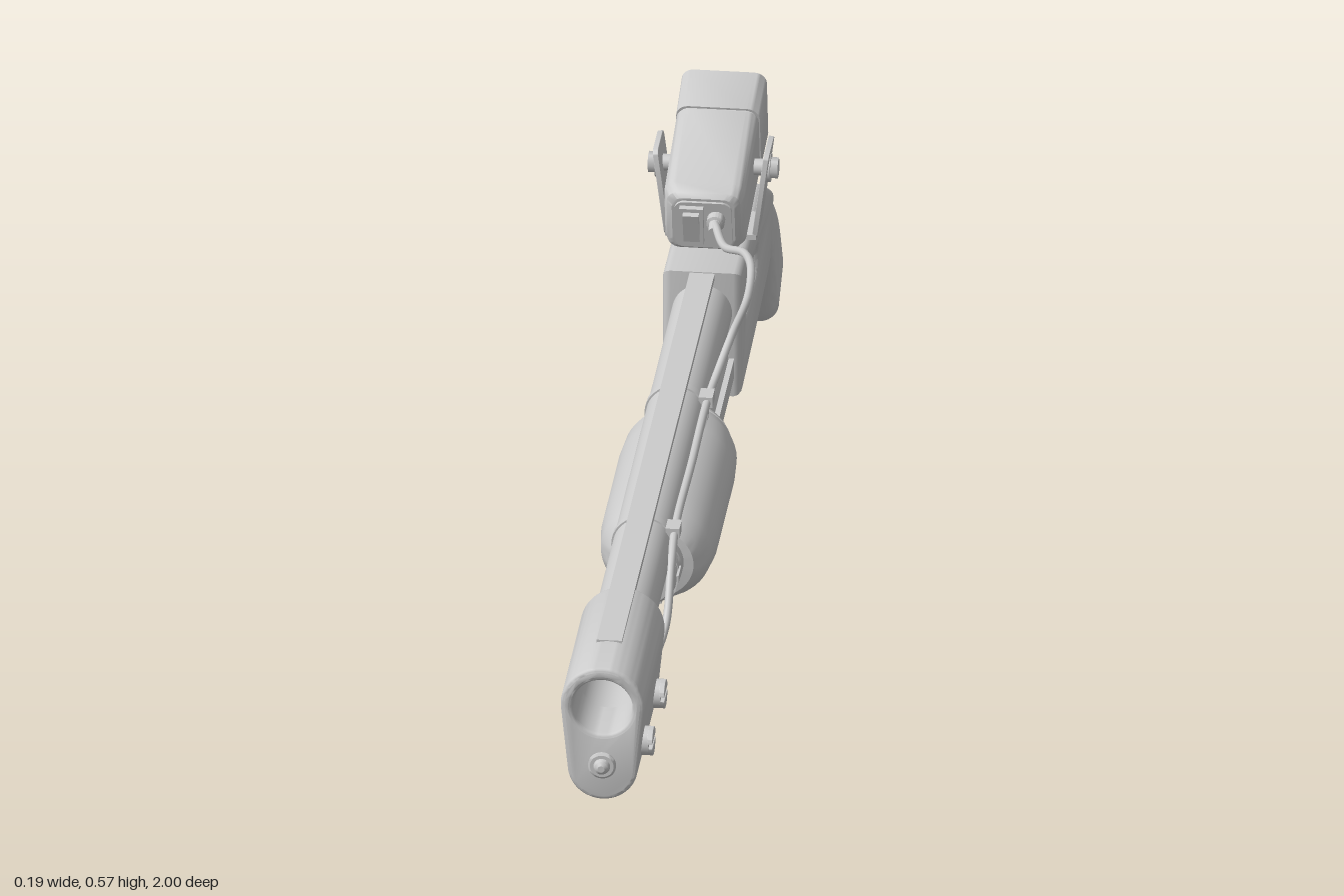
import * as THREE from 'three';
import { toCreasedNormals } from 'three/addons/utils/BufferGeometryUtils.js';

const grey = new THREE.MeshStandardMaterial({ color: 0xcccccc });
const greyOpen = new THREE.MeshStandardMaterial({ color: 0xcccccc, side: THREE.DoubleSide });
const V2 = (x, y) => new THREE.Vector2(x, y);
const V3 = (x, y, z) => new THREE.Vector3(x, y, z);

function add(parent, name, geo, x = 0, y = 0, z = 0, mat = grey) {
  const m = new THREE.Mesh(geo, mat);
  m.name = name;
  m.position.set(x, y, z);
  parent.add(m);
  return m;
}
const box = (w, h, d) => new THREE.BoxGeometry(w, h, d);
const rodZ = (r, len, n = 32, open = false) => new THREE.CylinderGeometry(r, r, len, n, 1, open).rotateX(Math.PI / 2);
const rodX = (r, len, n = 24) => new THREE.CylinderGeometry(r, r, len, n).rotateZ(-Math.PI / 2);

// Turned part along z from [z, radius] pairs, z rising
const turnZ = (pts, n = 40) =>
  toCreasedNormals(new THREE.LatheGeometry(pts.map(([z, r]) => V2(r, z)), n).rotateX(Math.PI / 2), 0.5);

// Extrusion centred on its depth, with a bevel that stays inside the outline
function slab(shape, depth, bevel) {
  const g = new THREE.ExtrudeGeometry(shape, {
    depth: depth - 2 * bevel, curveSegments: 20, bevelEnabled: bevel > 0,
    bevelSize: bevel, bevelThickness: bevel, bevelOffset: -bevel, bevelSegments: 3,
  });
  return toCreasedNormals(g.translate(0, 0, bevel - depth / 2), 0.6);
}
// Same, for a side outline drawn in (z, y)
const sideSlab = (shape, depth, bevel) => slab(shape, depth, bevel).rotateY(-Math.PI / 2);

function stadium(z0, z1, y, r, Type = THREE.Shape) {
  const s = new Type();
  s.absarc(z1 - r, y, r, -Math.PI / 2, Math.PI / 2);
  s.absarc(z0 + r, y, r, Math.PI / 2, Math.PI * 1.5);
  s.closePath();
  return s;
}

// Rounded rectangle cross-section, counter-clockwise
function roundRect(a, b, r, n = 6) {
  const out = [];
  [[1, 1], [-1, 1], [-1, -1], [1, -1]].forEach(([sx, sy], k) => {
    for (let i = 0; i <= n; i++) {
      const t = (k + i / n) * Math.PI / 2;
      out.push(V2(sx * (a - r) + r * Math.cos(t), sy * (b - r) + r * Math.sin(t)));
    }
  });
  return out;
}
// Skin over a list of rings, closed at both ends
function loft(rings, crease = 0.6) {
  const n = rings[0].length, pos = [], idx = [];
  rings.forEach((r) => r.forEach((p) => pos.push(p.x, p.y, p.z)));
  for (let i = 0; i < rings.length - 1; i++) for (let j = 0; j < n; j++) {
    const a = i * n + j, b = i * n + (j + 1) % n;
    idx.push(a, b, a + n, b, b + n, a + n);
  }
  const last = (rings.length - 1) * n;
  for (let j = 1; j < n - 1; j++) idx.push(0, j + 1, j, last, last + j, last + j + 1);
  const g = new THREE.BufferGeometry();
  g.setAttribute('position', new THREE.Float32BufferAttribute(pos, 3));
  g.setIndex(idx);
  return toCreasedNormals(g, crease);
}

function buildBarrel(root) {
  add(root, 'barrel', rodZ(0.043, 1.18, 40, true), 0, 0.332, 0.31, greyOpen);
  add(root, 'boreEnd', new THREE.CircleGeometry(0.043, 32), 0, 0.332, 0.4);
  add(root, 'sightRib', box(0.036, 0.009, 1.17), 0, 0.389, 0.31);
  [0.87, 0.64, 0.33, 0.02, -0.25].forEach((z) => add(root, 'ribPost', box(0.024, 0.03, 0.06), 0, 0.374, z));
  add(root, 'magazineTube', rodZ(0.041, 0.66), 0, 0.245, 0.05);
  [-1, 1].forEach((s) => add(root, 'actionBar', box(0.01, 0.03, 0.28), s * 0.041, 0.245, -0.17));

  // Magazine cap with grip ridges
  add(root, 'magazineCap', turnZ([[0.33, 0.044], [0.362, 0.044], [0.366, 0.04], [0.4, 0.04], [0.41, 0.034], [0.41, 0]]), 0, 0.245, 0);
  for (let i = 0; i < 10; i++) {
    const a = i / 10 * Math.PI * 2;
    add(root, 'capRidge', box(0.01, 0.012, 0.034), Math.cos(a) * 0.038, 0.245 + Math.sin(a) * 0.038, 0.383).rotation.z = a;
  }
  // Sliding fore-end
  const fore = turnZ([[-0.05, 0.04], [-0.05, 0.066], [-0.038, 0.07], [-0.034, 0.066], [-0.03, 0.072], [0.0, 0.081],
    [0.05, 0.084], [0.26, 0.084], [0.305, 0.079], [0.33, 0.068], [0.343, 0.058], [0.345, 0.04]], 48);
  add(root, 'foreEnd', fore.scale(1, 0.93, 1), 0, 0.241, 0);
}

function buildMuzzle(root) {
  const s = new THREE.Shape();
  s.absarc(0, 0.332, 0.06, -0.1, Math.PI + 0.1);
  s.absarc(0, 0.234, 0.05, Math.PI + 0.1, Math.PI * 2 - 0.1);
  s.closePath();
  s.holes.push(new THREE.Path().absarc(0, 0.33, 0.043, 0, Math.PI * 2, true));
  add(root, 'muzzleBlock', slab(s, 0.265, 0.006), 0, 0, 0.852);
  // Small emitter below the bore
  add(root, 'emitter', turnZ([[0.975, 0.02], [0.988, 0.02], [0.99, 0.017], [0.99, 0.012], [0.996, 0.01], [1, 0.005], [1, 0]]), 0, 0.24, 0);
  // Slotted side screws
  const half = new THREE.Shape().absarc(0, 0, 0.021, 0.17, Math.PI - 0.17);
  [0.93, 0.78].forEach((z) => {
    const screw = new THREE.Group();
    screw.name = 'screw';
    screw.position.set(0.056, 0.255, z);
    screw.rotation.y = Math.PI / 2;
    add(screw, 'screwBase', rodZ(0.021, 0.012, 24));
    [0, Math.PI].forEach((r) => add(screw, 'screwHalf', slab(half, 0.008, 0.001), 0, 0, 0.008).rotation.z = r);
    root.add(screw);
  });
  add(root, 'cablePlug', turnZ([[0.68, 0], [0.68, 0.008], [0.7, 0.011], [0.7, 0.016], [0.725, 0.016]], 20), 0.025, 0.235, 0);
}

function buildReceiver(root) {
  const s = new THREE.Shape([[-0.275, 0.2], [-0.275, 0.395], [-0.5, 0.392], [-0.565, 0.388], [-0.6, 0.376],
    [-0.69, 0.323], [-0.64, 0.23], [-0.6, 0.222], [-0.49, 0.212]].map(([z, y]) => V2(z, y)));
  s.holes.push(stadium(-0.485, -0.335, 0.318, 0.018, THREE.Path));
  add(root, 'receiver', sideSlab(s, 0.114, 0.012));
  add(root, 'ejectionPort', sideSlab(stadium(-0.498, -0.322, 0.318, 0.031), 0.1, 0), -0.0072, 0, 0);
  add(root, 'loadingGate', box(0.06, 0.014, 0.17), 0, 0.203, -0.385);

  // Trigger and guard
  const guard = new THREE.Shape().absellipse(-0.57, 0.185, 0.073, 0.062, 0, Math.PI * 2);
  guard.holes.push(new THREE.Path().absellipse(-0.57, 0.187, 0.061, 0.051, 0, Math.PI * 2, true));
  add(root, 'triggerGuard', sideSlab(guard, 0.028, 0.003));
  const pull = new THREE.QuadraticBezierCurve3(V3(0, 0.225, -0.56), V3(0, 0.18, -0.59), V3(0, 0.152, -0.558));
  add(root, 'trigger', new THREE.TubeGeometry(pull, 12, 0.007, 8));

  // Curved grip between an upper and a lower edge line
  const upper = new THREE.CatmullRomCurve3([V3(0, 0.318, -0.68), V3(0, 0.272, -0.79), V3(0, 0.19, -0.9), V3(0, 0.078, -0.995)]);
  const lower = new THREE.CatmullRomCurve3([V3(0, 0.232, -0.64), V3(0, 0.192, -0.728), V3(0, 0.12, -0.81), V3(0, 0.008, -0.895)]);
  const rings = [], N = 18;
  const ring = (t, k, push) => {
    const top = upper.getPoint(t), bot = lower.getPoint(t);
    const mid = top.clone().add(bot).multiplyScalar(0.5), v = top.clone().sub(bot);
    const h = v.length() / 2 - k, w = 0.05 - 0.013 * t - k;
    v.normalize();
    const along = V3(0, -v.z, v.y).multiplyScalar(-1);
    mid.addScaledVector(V3(0, -Math.abs(along.y), -Math.abs(along.z)), push);
    rings.push(roundRect(w, h, 0.72 * Math.min(w, h)).map((p) => mid.clone().addScaledVector(v, p.y).setX(-p.x)));
  };
  ring(0, 0.005, -0.004);
  for (let i = 0; i <= N; i++) ring(i / N, 0, 0);
  ring(1, 0.003, 0.005);
  ring(1, 0.01, 0.008);
  add(root, 'grip', loft(rings));
}

function buildLamp(root) {
  const lamp = new THREE.Group();
  lamp.name = 'lamp';
  lamp.position.set(0, 0.489, -0.425);
  lamp.rotation.x = 0.19;
  root.add(lamp);
  // [z, half width, half height, corner radius], from the recessed lens to the switch panel
  const profile = [[-0.085, 0.036, 0.036, 0.01], [-0.14, 0.053, 0.053, 0.014], [-0.144, 0.056, 0.056, 0.015],
    [-0.142, 0.061, 0.062, 0.018], [-0.06, 0.06, 0.059, 0.018], [-0.06, 0.057, 0.056, 0.017], [-0.055, 0.057, 0.056, 0.017],
    [-0.055, 0.059, 0.058, 0.018], [0.11, 0.058, 0.054, 0.018], [0.128, 0.053, 0.049, 0.018], [0.134, 0.045, 0.043, 0.016],
    [0.134, 0.041, 0.039, 0.014], [0.138, 0.041, 0.039, 0.014]];
  add(lamp, 'lampHousing', loft(profile.map(([z, a, b, r]) => roundRect(a, b, r).map((p) => V3(p.x, p.y, z)))));
  add(lamp, 'switchFrame', box(0.034, 0.062, 0.012), -0.016, 0.002, 0.14);
  add(lamp, 'switchRocker', box(0.023, 0.05, 0.012), -0.016, 0.002, 0.145).rotation.x = 0.12;
  add(lamp, 'cableSocket', turnZ([[0.13, 0.013], [0.15, 0.013], [0.152, 0.009], [0.17, 0.008], [0.172, 0]], 20), 0.019, 0.012, 0);

  // U-shaped bracket with clamp knobs
  add(root, 'bracketBase', box(0.13, 0.008, 0.075), 0, 0.4, -0.42);
  add(root, 'bracketBolt', new THREE.CylinderGeometry(0.018, 0.018, 0.014, 6), 0, 0.403, -0.42);
  [-1, 1].forEach((s) => {
    add(root, 'bracketArm', sideSlab(new THREE.Shape(roundRect(0.037, 0.067, 0.01)), 0.008, 0.001), s * 0.071, 0.463, -0.42)
      .rotation.z = -s * 0.13;
    add(root, 'pivot', rodX(0.012, 0.035), s * 0.068, 0.494, -0.42);
    add(root, 'washer', rodX(0.021, 0.007), s * 0.079, 0.494, -0.42);
    add(root, 'knob', rodX(0.015, 0.012, 6), s * 0.087, 0.494, -0.42);
  });
}

function buildCable(root) {
  const path = new THREE.CatmullRomCurve3([V3(0.019, 0.475, -0.27), V3(0.04, 0.473, -0.205), V3(0.075, 0.492, -0.15),
    V3(0.09, 0.492, -0.1), V3(0.088, 0.46, -0.072), V3(0.068, 0.41, -0.055), V3(0.052, 0.37, -0.015), V3(0.045, 0.357, 0.045),
    V3(0.045, 0.357, 0.25), V3(0.045, 0.357, 0.463), V3(0.047, 0.335, 0.527), V3(0.047, 0.272, 0.596),
    V3(0.036, 0.242, 0.645), V3(0.025, 0.235, 0.7)]);
  add(root, 'cable', new THREE.TubeGeometry(path, 120, 0.006, 10));
  [0.045, 0.463].forEach((z) => {
    add(root, 'cableClip', box(0.02, 0.016, 0.03), 0.043, 0.357, z);
    add(root, 'clipBand', rodZ(0.0455, 0.014, 32), 0, 0.332, z);
  });
}

export function createModel() {
  const root = new THREE.Group();
  root.name = 'model';
  const body = new THREE.Group();
  body.name = 'body';
  body.position.x = -0.004;
  root.add(body);
  [buildBarrel, buildMuzzle, buildReceiver, buildLamp, buildCable].forEach((build) => build(body));
  return root;
}
